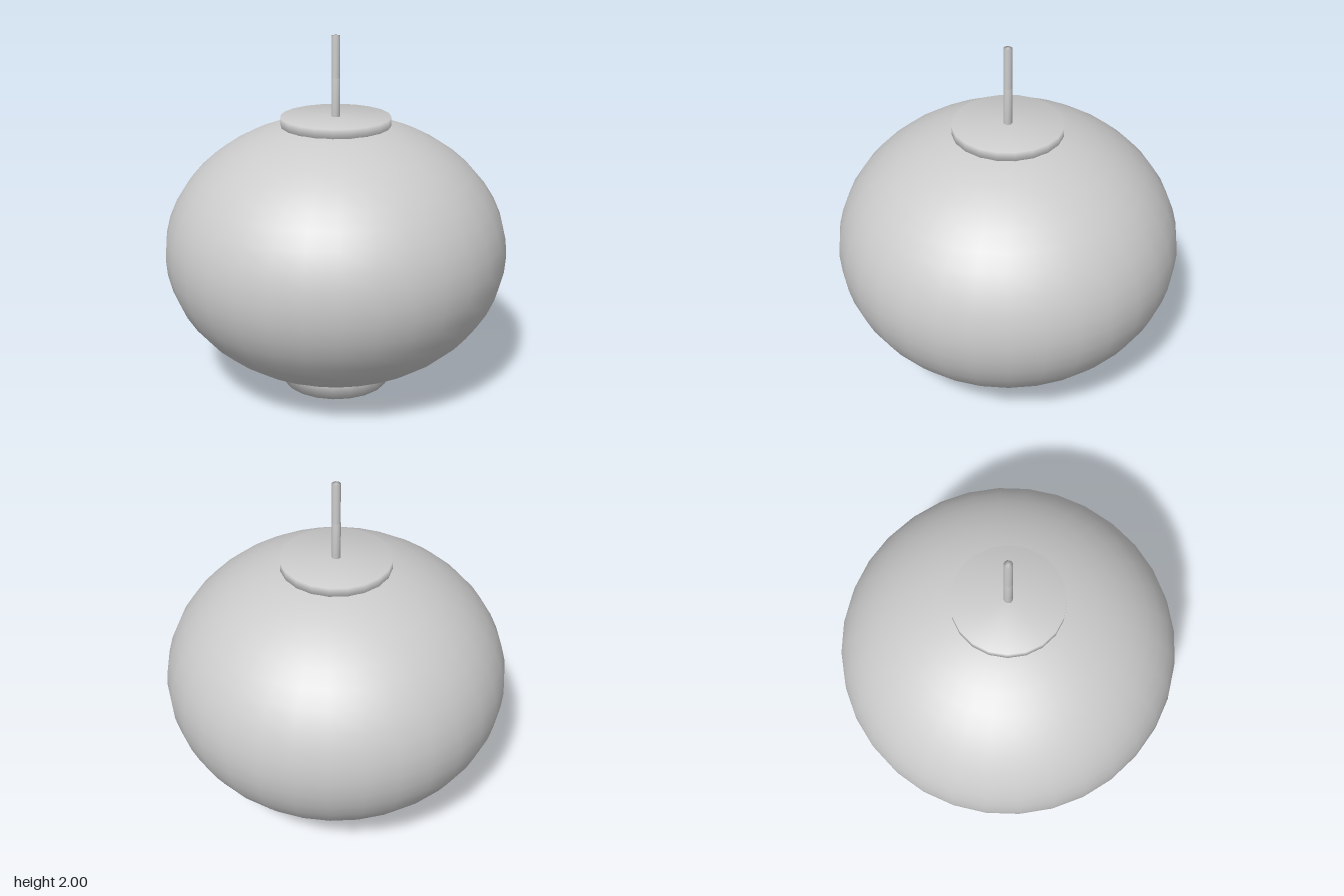
import * as THREE from 'three';
import { mergeVertices } from 'three/addons/utils/BufferGeometryUtils.js';

const material = new THREE.MeshStandardMaterial({ color: 0xcccccc });

// Capped cylinder between two heights, shaded smoothly across its rims
function softCylinder(name, radius, bottom, top, sides) {
  let geometry = new THREE.CylinderGeometry(radius, radius, top - bottom, sides);
  geometry.deleteAttribute('uv');
  geometry.deleteAttribute('normal');
  geometry = mergeVertices(geometry);
  geometry.computeVertexNormals();
  const mesh = new THREE.Mesh(geometry, material);
  mesh.name = name;
  mesh.position.y = (bottom + top) / 2;
  return mesh;
}

export function createModel() {
  const model = new THREE.Group();
  model.name = 'lantern';

  // Flattened round shade
  const shade = new THREE.Mesh(new THREE.SphereGeometry(1, 32, 24), material);
  shade.name = 'shade';
  shade.scale.set(0.955, 0.743, 0.955);
  shade.position.y = 0.806;
  model.add(shade);

  // Bottom and top collars
  model.add(softCylinder('bottomCollar', 0.303, 0, 0.12, 20));
  model.add(softCylinder('topCollar', 0.303, 1.49, 1.56, 20));

  // Hanging rod, with a sleeve around its lower half
  model.add(softCylinder('hangingRod', 0.0235, 1.55, 2, 12));
  model.add(softCylinder('rodSleeve', 0.024, 1.55, 1.77, 12));

  return model;
}
